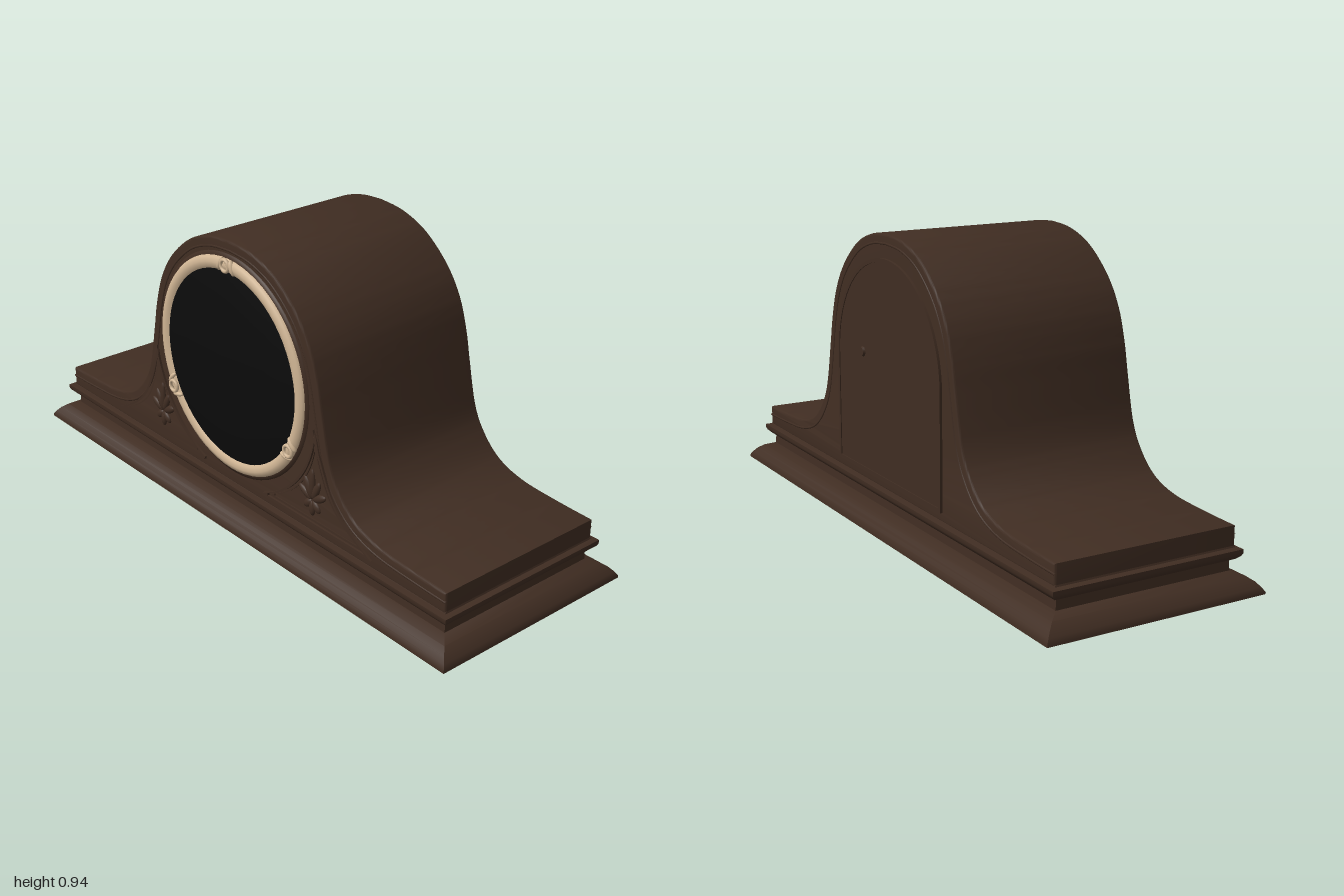
import * as THREE from 'three';
import { toCreasedNormals } from 'three/addons/utils/BufferGeometryUtils.js';

const mat = (name, color) => {
  const m = new THREE.MeshStandardMaterial({ color });
  m.name = name;
  return m;
};

// Rectangular moulding lofted from [half depth, height] pairs, bottom to top
function mouldingGeometry(profile) {
  const extra = 0.635; // half width minus half depth
  const ring = ([d, y]) => [[1, 1], [1, -1], [-1, -1], [-1, 1]].map(([sx, sz]) => [sx * (d + extra), y, sz * d]);
  const pos = [];
  const quad = (a, b, c, d) => pos.push(...a, ...b, ...c, ...a, ...c, ...d);
  for (let i = 0; i < profile.length - 1; i++) {
    const lo = ring(profile[i]), hi = ring(profile[i + 1]);
    for (let k = 0; k < 4; k++) quad(lo[k], lo[(k + 1) % 4], hi[(k + 1) % 4], hi[k]);
  }
  quad(...ring(profile[0]).reverse());
  quad(...ring(profile[profile.length - 1]));
  const g = new THREE.BufferGeometry();
  g.setAttribute('position', new THREE.Float32BufferAttribute(pos, 3));
  g.computeVertexNormals();
  return toCreasedNormals(g, 0.6);
}

const extrude = (shape, depth, bevel, z) => {
  const g = new THREE.ExtrudeGeometry(shape, {
    depth: depth - 2 * bevel, bevelEnabled: bevel > 0, bevelThickness: bevel, bevelSize: bevel,
    bevelOffset: -bevel, bevelSegments: 3, curveSegments: 40,
  });
  g.translate(0, 0, z + bevel);
  return toCreasedNormals(g, 0.55);
};

// Arched door outline
function archPoints(inset) {
  const r = 0.34 - inset, pts = [new THREE.Vector2(-r, 0.16 + inset), new THREE.Vector2(r, 0.16 + inset)];
  for (let i = 0; i <= 36; i++) {
    const a = (i / 36) * Math.PI;
    pts.push(new THREE.Vector2(r * Math.cos(a), 0.525 + r * Math.sin(a)));
  }
  return pts;
}

// Curved triangular corner panel beside the dial; scaled about its middle
function spandrelPoints(scale) {
  const pts = new THREE.SplineCurve([[0.64, 0.157], [0.54, 0.215], [0.46, 0.3], [0.385, 0.475]]
    .map(p => new THREE.Vector2(...p))).getPoints(14);
  for (let i = 0; i <= 14; i++) {
    const a = -0.16 - (i / 14) * 1.03;
    pts.push(new THREE.Vector2(0.4 * Math.cos(a), 0.537 + 0.4 * Math.sin(a)));
  }
  pts.push(new THREE.Vector2(0.15, 0.157));
  return pts.map(p => new THREE.Vector2(0.385 + (p.x - 0.385) * scale, 0.245 + (p.y - 0.245) * scale));
}

export function createModel() {
  const clock = new THREE.Group();
  clock.name = 'mantelClock';
  const wood = mat('dark wood', 0x402d22);
  const ivory = mat('ivory', 0xd0b594);
  const black = mat('black glass', 0x0b0b0b);
  const add = (name, geometry, material, parent = clock) => {
    const m = new THREE.Mesh(geometry, material);
    m.name = name;
    parent.add(m);
    return m;
  };

  // Stepped plinth
  add('plinth', mouldingGeometry([
    [0.365, 0], [0.365, 0.006], [0.356, 0.02], [0.343, 0.035], [0.324, 0.049], [0.292, 0.061],
    [0.29, 0.095], [0.302, 0.096], [0.314, 0.107], [0.318, 0.115], [0.318, 0.127], [0.302, 0.131], [0.3, 0.136],
  ]), wood);

  // Humped case
  const right = new THREE.SplineCurve([
    [0.935, 0.196], [0.8, 0.2], [0.66, 0.211], [0.56, 0.245], [0.49, 0.31], [0.448, 0.39], [0.416, 0.53],
    [0.397, 0.62], [0.363, 0.72], [0.302, 0.81], [0.205, 0.89], [0.1, 0.93], [0, 0.94],
  ].map(p => new THREE.Vector2(...p))).getPoints(60);
  const hump = [...right, ...right.slice(0, -1).reverse().map(p => new THREE.Vector2(-p.x, p.y))];
  add('case', extrude(new THREE.Shape([
    new THREE.Vector2(-0.935, 0.13), new THREE.Vector2(0.935, 0.13), ...hump,
  ]), 0.604, 0.007, -0.302), wood);

  // Thin bead following the case outline on both faces
  const inner = hump.map((p, i) => {
    const t = hump[Math.min(i + 1, hump.length - 1)].clone().sub(hump[Math.max(i - 1, 0)]).normalize();
    return new THREE.Vector2(p.x - t.y * 0.03, p.y + t.x * 0.03);
  });
  for (const s of [1, -1]) {
    const path = new THREE.CatmullRomCurve3(inner.map(p => new THREE.Vector3(p.x, p.y, s * 0.3005)));
    add(s > 0 ? 'frontBead' : 'backBead', new THREE.TubeGeometry(path, 120, 0.004, 6), wood);
  }

  // Dial: wooden seat, ivory bezel, domed glass
  const dial = new THREE.Group();
  dial.name = 'dial';
  dial.position.y = 0.537;
  clock.add(dial);
  const lathe = (name, pts, material) => add(name, new THREE.LatheGeometry(
    pts.map(p => new THREE.Vector2(...p)), 64).rotateX(Math.PI / 2), material, dial);
  lathe('dialSeat', [[0.364, 0.295], [0.362, 0.306], [0.35, 0.309]], wood);
  lathe('bezel', [[0.352, 0.3], [0.352, 0.307], [0.346, 0.317], [0.332, 0.322], [0.318, 0.319], [0.309, 0.312]], ivory);
  lathe('glass', [[0.311, 0.314], [0.26, 0.324], [0.2, 0.331], [0.12, 0.337], [0.05, 0.3395], [0, 0.34]], black);

  // Ribbon knots on the bezel
  for (const deg of [90, -30, 210]) {
    const knot = new THREE.Group();
    knot.name = 'bezelKnot';
    knot.rotation.z = THREE.MathUtils.degToRad(deg - 90);
    dial.add(knot);
    add('knotRing', new THREE.TorusGeometry(0.018, 0.006, 8, 20).translate(0, 0.332, 0.322), ivory, knot);
    for (const s of [-1, 1]) {
      const band = add('knotBand', new THREE.SphereGeometry(1, 12, 8), ivory, knot);
      band.scale.set(0.009, 0.025, 0.011);
      band.position.set(s * 0.028, 0.331, 0.316);
      band.rotation.z = s * 0.35;
    }
  }

  // Carved corner panels with leaf sprays
  for (const s of [1, -1]) {
    const panel = new THREE.Group();
    panel.name = s > 0 ? 'leftCorner' : 'rightCorner';
    clock.add(panel);
    const mirrored = k => spandrelPoints(k).map(p => new THREE.Vector2(p.x * s, p.y));
    for (const [name, outer, hole, top] of [['cornerFrame', 1, 0.9, 0.309], ['cornerFillet', 0.82, 0.77, 0.306]]) {
      const shape = new THREE.Shape(mirrored(outer));
      shape.holes.push(new THREE.Path(mirrored(hole)));
      add(name, extrude(shape, top - 0.298, 0, 0.298), wood, panel);
    }
    for (const [angle, length] of [[0, 0.1], [0.45, 0.075], [-0.45, 0.075], [1.1, 0.065], [-1.1, 0.065], [2.3, 0.045], [-2.3, 0.045], [Math.PI, 0.05]]) {
      const leaf = add('leaf', new THREE.SphereGeometry(1, 12, 8), wood, panel);
      leaf.scale.set(0.013, length / 2, 0.009);
      leaf.position.set(s * 0.378 - Math.sin(angle) * length * 0.55, 0.24 + Math.cos(angle) * length * 0.55, 0.303);
      leaf.rotation.z = angle;
    }
  }

  // Rear door with raised rim and knob
  const rim = new THREE.Shape(archPoints(0));
  rim.holes.push(new THREE.Path(archPoints(0.012)));
  add('doorRim', extrude(rim, 0.012, 0, -0.31), wood);
  add('doorPanel', extrude(new THREE.Shape(archPoints(0.01)), 0.008, 0, -0.307), wood);
  const knob = add('doorKnob', new THREE.CylinderGeometry(0.014, 0.018, 0.012, 20).rotateX(-Math.PI / 2), wood);
  knob.position.set(0.16, 0.55, -0.308);

  return clock;
}
